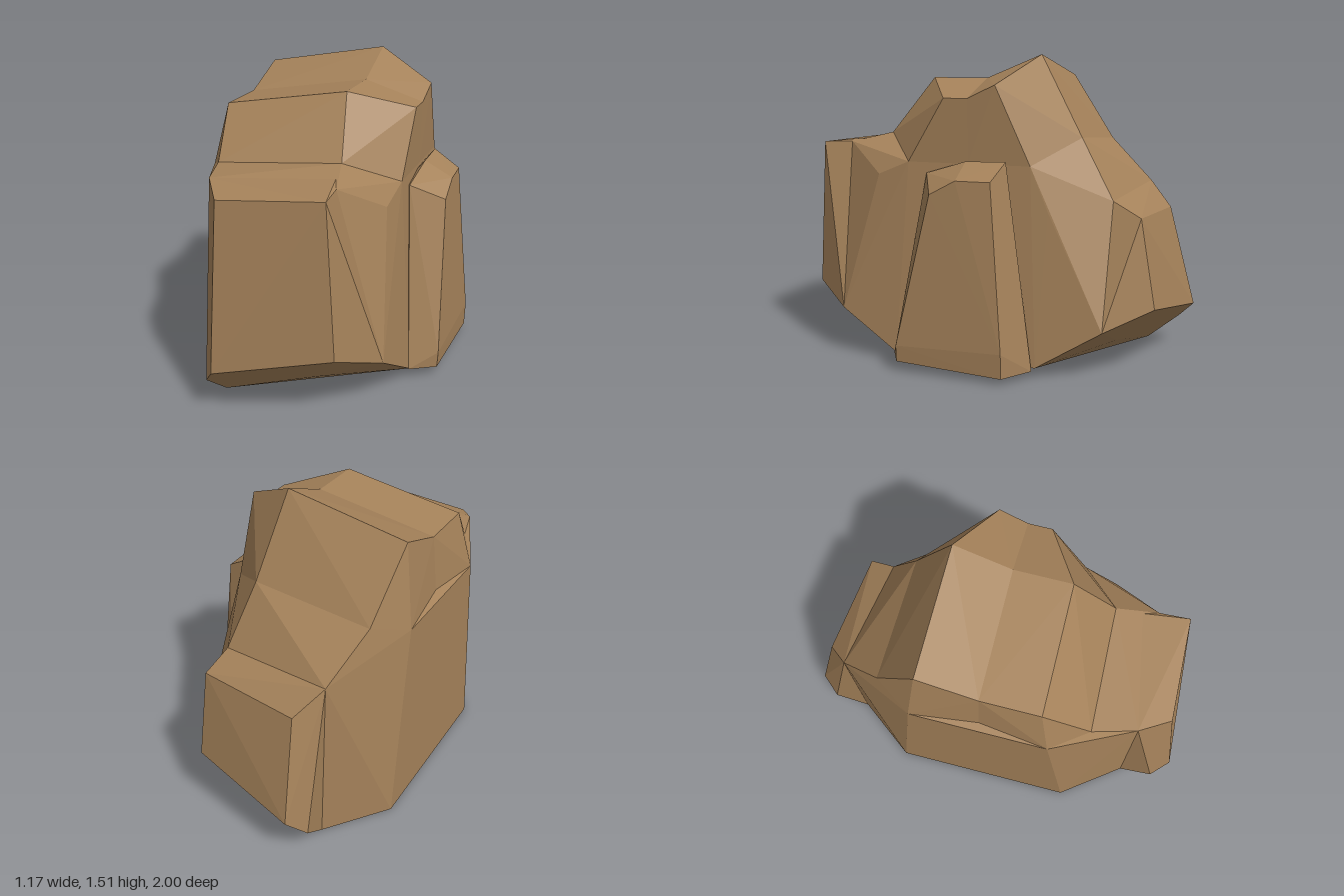
import * as THREE from 'three';
import { ConvexGeometry } from 'three/addons/geometries/ConvexGeometry.js';

// Faceted boulder made of overlapping convex lumps.
export function createModel() {
  const group = new THREE.Group();
  group.name = 'boulder';
  const stone = new THREE.MeshStandardMaterial({ color: 0xa5825a, flatShading: true });
  stone.name = 'brown stone';

  const lump = (name, points) => {
    const mesh = new THREE.Mesh(
      new ConvexGeometry(points.map((p) => new THREE.Vector3(...p))), stone);
    mesh.name = name;
    group.add(mesh);
  };
  // Same points on the front (s = 1) or the back (s = -1)
  const side = (points, s) => points.map(([x, y, z]) => [x, y, z * s]);
  const both = (points) => [...side(points, 1), ...side(points, -1)];

  const shoulder = [[-0.585, 1, 0.34], [-0.47, 1.07, 0.52], [0.14, 1.12, 0.5], [0.37, 1, 0.31]];
  const foot = [[-0.36, 0.01, 0.76], [0.1, 0.12, 0.68], [0.4, 0.24, 0.67]];
  const toe = [[-0.38, 0.14, 0.92], [-0.31, 0.23, 1], [0.24, 0.33, 0.885]];
  const saddle = [[-0.52, 1.3, 0], [0.09, 1.4, 0], [0.38, 1.31, 0]];
  const frontLedge = [[-0.41, 1.065, 0.73], [0.19, 1.07, 0.71]];
  const backLedge = [[-0.38, 0.86, -0.75], [0.2, 0.83, -0.67]];

  // Wide body below the shoulders
  lump('body', [
    ...both(shoulder), ...both(foot), ...frontLedge, ...backLedge,
    ...both([[-0.58, 0, 0.46], [0.44, 0.05, 0.36]]),
    [0.35, 0.93, 0.48], [0.38, 0.79, -0.4],
  ]);

  // Top, creased along the saddle between the low front and high back
  const shelf = [[-0.55, 1, 0], [0.37, 1, 0]];
  lump('frontCap', [
    ...shoulder, ...saddle, ...shelf,
    [-0.52, 1.3, 0.29], [0.09, 1.4, 0.285], [0.38, 1.31, 0.12],
  ]);
  lump('backCap', [
    ...side(shoulder, -1), ...saddle, ...shelf,
    [-0.525, 1.405, -0.29], [0.09, 1.515, -0.28], [0.385, 1.375, -0.14],
  ]);

  // Tall front buttress and lower back one
  lump('frontButtress', [
    ...foot, ...toe, ...frontLedge,
    [-0.31, 1.02, 0.88], [0.2, 1.065, 0.865], [0.14, 1.1, 0.52], [-0.35, 1.06, 0.55],
  ]);
  lump('backButtress', [
    ...side(foot, -1), ...side(toe, -1), ...backLedge,
    [-0.28, 0.74, -0.87], [0.23, 0.76, -0.81],
  ]);

  // Slanted rib on the left flank
  lump('sideRib', [
    [0.38, 0.95, 0.21], [0.4, 1.015, 0], [0.4, 1.02, -0.2],
    [0.54, 0.87, 0.13], [0.54, 0.94, 0], [0.535, 0.94, -0.17],
    [0.57, 0.13, 0.3], [0.565, 0.05, 0.3], [0.59, 0.15, -0.24], [0.585, 0.03, -0.24],
    [0.44, 0.05, 0.37], [0.46, 0.04, -0.35], [0.3, 0.9, 0.1], [0.3, 0.9, -0.15], [0.35, 0.06, 0],
  ]);
  return group;
}
